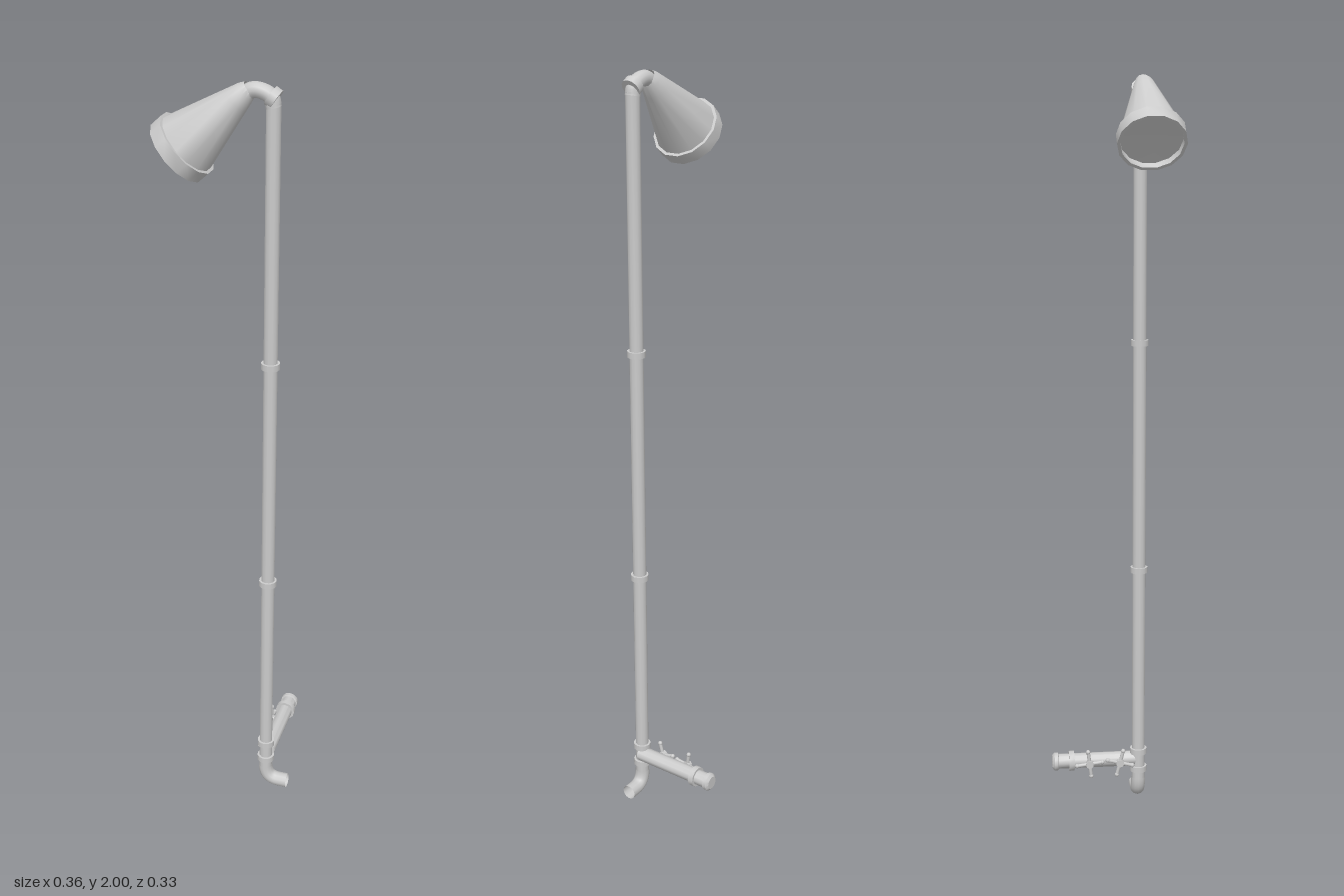
import * as THREE from 'three';
import { toCreasedNormals } from 'three/addons/utils/BufferGeometryUtils.js';

const V = (x, y, z) => new THREE.Vector3(x, y, z);
const UP = V(0, 1, 0);
const PX = 0.116, PZ = 0.078, R = 0.018; // riser position and radius

export function createModel() {
  const group = new THREE.Group();
  const grey = new THREE.MeshStandardMaterial({ color: 0xcccccc });
  const thin = new THREE.MeshStandardMaterial({ color: 0xcccccc, side: THREE.DoubleSide });

  const add = (name, geometry, parent = group, material = grey) => {
    const mesh = new THREE.Mesh(geometry, material);
    mesh.name = name;
    parent.add(mesh);
    return mesh;
  };
  // cylinder between two points
  const rod = (name, a, b, r, parent = group, sides = 12) => {
    const mesh = add(name, new THREE.CylinderGeometry(r, r, a.distanceTo(b), sides), parent);
    mesh.position.copy(a).lerp(b, 0.5);
    mesh.quaternion.setFromUnitVectors(UP, b.clone().sub(a).normalize());
    return mesh;
  };
  // turned part whose profile [radius, distance] runs along a direction
  const turned = (name, profile, origin, dir, sides, parent = group) => {
    const points = profile.map(([r, d]) => new THREE.Vector2(r, d));
    const mesh = add(name, toCreasedNormals(new THREE.LatheGeometry(points, sides), 0.6), parent, thin);
    mesh.position.copy(origin);
    mesh.quaternion.setFromUnitVectors(UP, dir.clone().normalize());
    return mesh;
  };

  // riser pipe with joint rings
  rod('riserPipe', V(PX, 0.06, PZ), V(PX, 1.955, PZ), R);
  for (const y of [0.093, 0.146, 0.68, 1.31]) {
    rod('jointRing', V(PX, y - 0.008, PZ), V(PX, y + 0.008, PZ), 0.024);
  }

  // open elbow at the foot
  const elbow = new THREE.CurvePath();
  elbow.add(new THREE.QuadraticBezierCurve3(V(PX, 0.066, PZ), V(PX, 0.02, PZ), V(0.155, 0.02, PZ)));
  elbow.add(new THREE.LineCurve3(V(0.155, 0.02, PZ), V(0.18, 0.02, PZ)));
  add('footElbow', new THREE.TubeGeometry(elbow, 14, 0.02, 12), group, thin);

  // neck bending over to the head
  const neck = new THREE.CatmullRomCurve3([
    V(PX, 1.945, PZ), V(0.111, 1.967, PZ), V(0.091, 1.979, PZ), V(0.066, 1.981, PZ), V(0.036, 1.962, PZ),
  ]);
  add('neck', new THREE.TubeGeometry(neck, 16, 0.019, 12), group, thin);
  rod('neckCollar', V(0.123, 1.962, PZ), V(0.108, 1.972, PZ), 0.025);

  // conical shower head with rim and recessed face
  turned('showerHead', [
    [0.019, -0.012], [0.026, 0.002], [0.034, 0.03], [0.08, 0.192], [0.0875, 0.192],
    [0.0875, 0.226], [0.079, 0.226], [0.079, 0.208], [0, 0.204],
  ], V(0.05, 1.976, PZ), V(-0.743, -0.669, 0), 14);

  // mixer body reaching to the back, with ring and end cap
  turned('mixerBody', [
    [0, 0], [0.021, 0], [0.021, 0.183], [0.028, 0.183], [0.028, 0.198], [0.021, 0.198],
    [0.021, 0.227], [0.025, 0.229], [0.025, 0.239], [0.018, 0.245], [0, 0.245],
  ], V(0.121, 0.12, PZ), V(0, 0, -1), 12);

  // two cross handles on the side of the mixer
  for (const [z, turn] of [[0.023, 0.25], [-0.063, -0.12]]) {
    const handle = new THREE.Group();
    handle.name = 'crossHandle';
    handle.position.set(0.092, 0.12, z);
    handle.rotation.x = turn;
    rod('stem', V(0.02, 0, 0), V(-0.003, 0, 0), 0.008, handle, 10);
    rod('hub', V(0.006, 0, 0), V(-0.008, 0, 0), 0.011, handle, 10);
    for (let i = 0; i < 4; i++) {
      const a = i * Math.PI / 2;
      const at = (r) => V(0, Math.cos(a) * r, Math.sin(a) * r);
      rod('arm', at(0.005), at(0.037), 0.005, handle, 8);
      const tip = add('armTip', new THREE.SphereGeometry(0.0065, 8, 6), handle);
      tip.position.copy(at(0.036));
    }
    group.add(handle);
  }
  return group;
}
